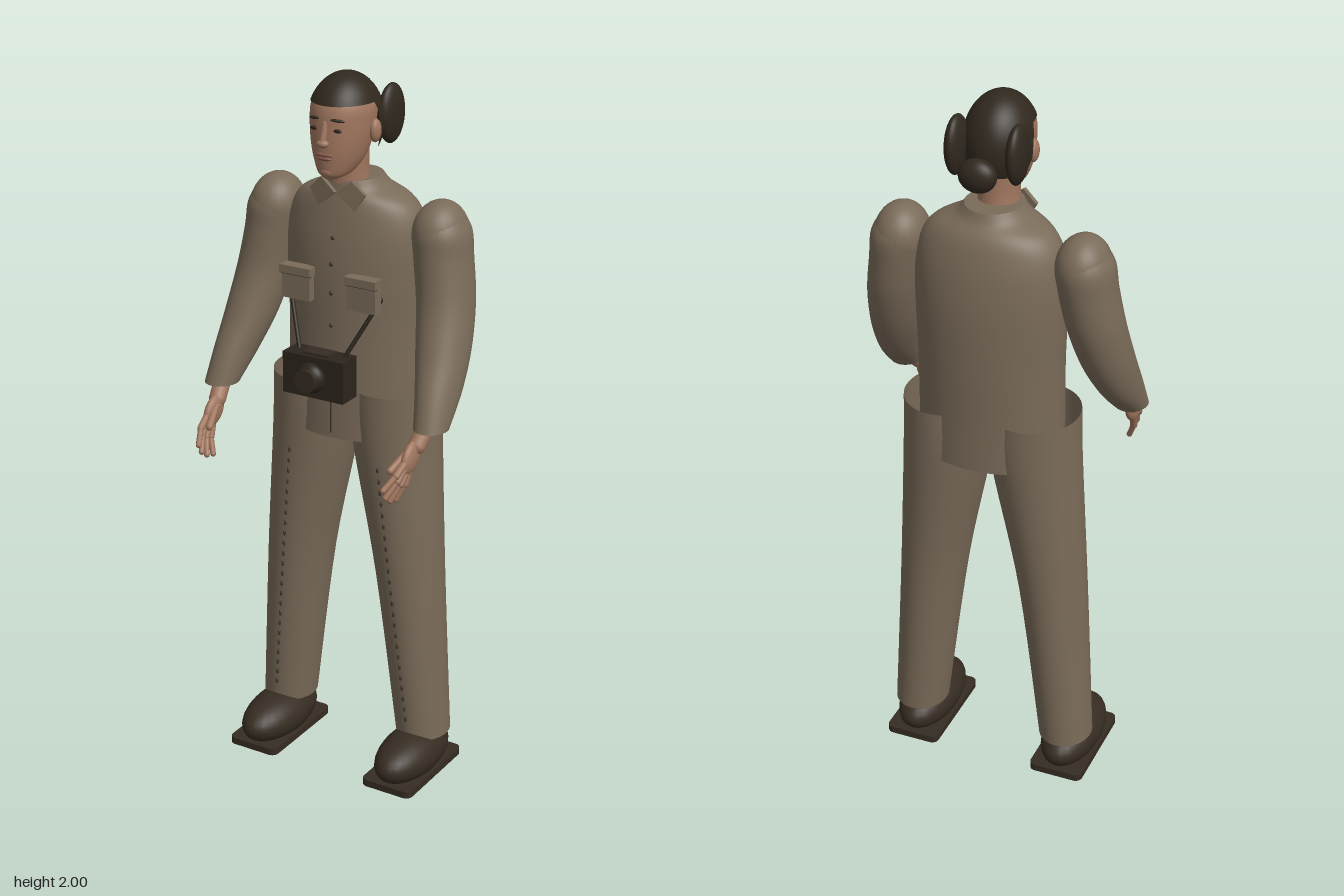
import * as THREE from 'three';

const mat = (name, color) => Object.assign(new THREE.MeshStandardMaterial({ color }), { name });

export function createModel() {
  const root = new THREE.Group();
  root.name = 'standingFigure';
  const cloth = mat('khakiCloth', 0x7a6b59);
  cloth.side = THREE.DoubleSide;
  const skin = mat('skin', 0xa0765e);
  const lips = mat('lips', 0x85584a);
  const hair = mat('darkHair', 0x30281e);
  hair.side = THREE.DoubleSide;
  const leather = mat('darkLeather', 0x362c22);
  const black = mat('cameraBlack', 0x2b241c);
  const stitch = mat('stitching', 0x40372d);

  const add = (name, geo, material, x = 0, y = 0, z = 0, parent = root) => {
    const m = new THREE.Mesh(geo, material);
    m.name = name;
    m.position.set(x, y, z);
    parent.add(m);
    return m;
  };
  const ball = (name, material, x, y, z, rx, ry, rz, parent) => {
    const m = add(name, new THREE.SphereGeometry(1, 28, 20), material, x, y, z, parent);
    m.scale.set(rx, ry, rz);
    return m;
  };
  const box = (name, material, x, y, z, w, h, d, parent) =>
    add(name, new THREE.BoxGeometry(w, h, d), material, x, y, z, parent);
  const rod = (name, material, a, b, r) => {
    const p = new THREE.Vector3(...a), q = new THREE.Vector3(...b), d = q.clone().sub(p);
    const m = add(name, new THREE.CapsuleGeometry(r, d.length(), 5, 10), material);
    m.position.copy(p).add(q).multiplyScalar(0.5);
    m.quaternion.setFromUnitVectors(new THREE.Vector3(0, 1, 0), d.normalize());
    return m;
  };

  // Smooth elliptical loft; each row is [y, centreX, centreZ, radiusX, radiusZ], rising in y
  function loft(rows, { bottom = true, top = true, seg = 48, steps = 6 } = {}) {
    const n = (rows.length - 1) * steps, pos = [], idx = [];
    const splines = [0, 1, 2, 3, 4].map(k =>
      new THREE.SplineCurve(rows.map((r, i) => new THREE.Vector2(i, r[k]))));
    const ring = t => {
      const [y, cx, cz, rx, rz] = splines.map(s => s.getPoint(t).y);
      for (let j = 0; j < seg; j++) {
        const a = j / seg * Math.PI * 2;
        pos.push(cx + rx * Math.sin(a), y, cz + rz * Math.cos(a));
      }
      return [cx, y, cz];
    };
    for (let i = 0; i <= n; i++) ring(i / n);
    for (let i = 0; i < n; i++) for (let j = 0; j < seg; j++) {
      const a = i * seg + j, b = i * seg + (j + 1) % seg;
      idx.push(a, b, b + seg, a, b + seg, a + seg);
    }
    const cap = (t, up) => {
      const s = pos.length / 3;
      pos.push(...ring(t));
      const c = s + seg;
      for (let j = 0; j < seg; j++) {
        const a = s + j, b = s + (j + 1) % seg;
        idx.push(...(up ? [a, b, c] : [b, a, c]));
      }
    };
    if (bottom) cap(0, false);
    if (top) cap(1, true);
    const g = new THREE.BufferGeometry();
    g.setAttribute('position', new THREE.Float32BufferAttribute(pos, 3));
    g.setIndex(idx);
    g.computeVertexNormals();
    return g;
  }

  // Shirt body and neck
  add('shirt', loft([
    [1.01, 0, -0.107, 0.2, 0.142], [1.15, 0, -0.108, 0.2, 0.142], [1.3, 0, -0.11, 0.2, 0.143],
    [1.45, 0, -0.11, 0.205, 0.142], [1.55, 0, -0.108, 0.204, 0.134], [1.62, 0, -0.105, 0.19, 0.121],
    [1.665, 0, -0.1, 0.158, 0.108], [1.695, 0, -0.09, 0.1, 0.092], [1.72, 0, -0.085, 0.076, 0.084],
  ]), cloth);
  add('neck', loft([[1.68, 0, -0.06, 0.06, 0.06], [1.74, 0, -0.055, 0.054, 0.056], [1.83, 0, -0.05, 0.056, 0.06]]), skin);

  // Placket seam and buttons
  box('placketSeam', stitch, 0, 1.09, 0.033, 0.004, 0.13, 0.006);
  for (const y of [1.33, 1.42, 1.5, 1.57])
    ball('button', stitch, 0, y, y > 1.55 ? 0.024 : 0.032, 0.006, 0.006, 0.004);

  // Head
  add('head', loft([
    [1.735, 0, 0.03, 0.018, 0.018], [1.748, 0, 0.01, 0.042, 0.05], [1.78, 0, -0.01, 0.062, 0.075],
    [1.82, 0, -0.02, 0.075, 0.087], [1.87, 0, -0.028, 0.083, 0.093], [1.92, 0, -0.034, 0.083, 0.093],
    [1.96, 0, -0.038, 0.062, 0.075], [1.985, 0, -0.04, 0.02, 0.03],
  ]), skin);
  rod('noseBridge', skin, [0, 1.885, 0.058], [0, 1.838, 0.073], 0.009);
  ball('noseTip', skin, 0, 1.834, 0.072, 0.017, 0.011, 0.014);
  ball('upperLip', lips, 0, 1.803, 0.064, 0.025, 0.006, 0.008);
  ball('lowerLip', lips, 0, 1.793, 0.063, 0.02, 0.006, 0.008);
  ball('chin', skin, 0, 1.757, 0.046, 0.025, 0.019, 0.018);

  // Hair cap with a hairline that is high at the brow and low at the nape
  const capPos = [], capIdx = [], U = 64, V = 16;
  for (let i = 0; i <= V; i++) for (let j = 0; j < U; j++) {
    const a = j / U * Math.PI * 2;
    const back = THREE.MathUtils.smoothstep(-Math.cos(a), 0.02, 0.3);
    const th = Math.acos(THREE.MathUtils.lerp(0.46, -0.5, back)) * i / V;
    capPos.push(0.096 * Math.sin(th) * Math.sin(a), 1.87 + 0.13 * Math.cos(th), -0.041 + 0.116 * Math.sin(th) * Math.cos(a));
    if (i < V) {
      const p = i * U + j, q = i * U + (j + 1) % U;
      capIdx.push(p, p + U, q + U, p, q + U, q);
    }
  }
  const capGeo = new THREE.BufferGeometry();
  capGeo.setAttribute('position', new THREE.Float32BufferAttribute(capPos, 3));
  capGeo.setIndex(capIdx);
  capGeo.computeVertexNormals();
  add('hairCap', capGeo, hair);
  ball('lowerBun', hair, 0, 1.835, -0.195, 0.051, 0.045, 0.034);

  // Camera
  box('cameraBody', black, 0, 1.213, 0.09, 0.186, 0.115, 0.07);
  box('cameraTopPlate', leather, 0, 1.273, 0.09, 0.08, 0.008, 0.045);
  ball('lensBarrel', black, 0, 1.215, 0.135, 0.042, 0.042, 0.028);
  add('lensRim', new THREE.CylinderGeometry(0.032, 0.032, 0.008, 28).rotateX(Math.PI / 2), leather, 0, 1.215, 0.162);

  // Collar wing outline, on the model's left
  const wing = s => {
    const sh = new THREE.Shape([[0, 1.69], [0.055, 1.645], [0.083, 1.69], [0.045, 1.725]]
      .map(([x, y]) => new THREE.Vector2(s * x, y)));
    return new THREE.ExtrudeGeometry(sh, { depth: 0.012, bevelEnabled: false });
  };
  // Rounded sole outline
  const sole = new THREE.Shape(), w = 0.078, l = 0.153, r = 0.02;
  sole.absarc(w - r, l - r, r, 0, Math.PI / 2);
  sole.absarc(r - w, l - r, r, Math.PI / 2, Math.PI);
  sole.absarc(r - w, r - l, r, Math.PI, Math.PI * 1.5);
  sole.absarc(w - r, r - l, r, Math.PI * 1.5, Math.PI * 2);
  const soleGeo = new THREE.ExtrudeGeometry(sole, { depth: 0.02, bevelEnabled: false }).rotateX(-Math.PI / 2);

  for (const s of [1, -1]) {
    const side = s > 0 ? 'left' : 'right';

    // Face details, ear and side bun
    ball(side + 'Eye', black, s * 0.034, 1.868, 0.057, 0.013, 0.005, 0.005);
    const brow = ball(side + 'Brow', hair, s * 0.035, 1.895, 0.057, 0.019, 0.004, 0.005);
    brow.rotation.set(0, s * 0.35, -s * 0.1);
    ball(side + 'Ear', skin, s * 0.088, 1.855, -0.043, 0.014, 0.031, 0.02);
    ball(side + 'Bun', hair, s * 0.082, 1.88, -0.134, 0.025, 0.08, 0.056);

    // Collar wing
    const c = add(side + 'Collar', wing(s), cloth, 0, 0, 0.002);
    c.rotation.y = s * 0.15;

    // Breast pocket with flap
    box(side + 'Pocket', cloth, s * 0.1, 1.43, 0.032, 0.086, 0.08, 0.03);
    box(side + 'PocketFlap', cloth, s * 0.1, 1.471, 0.037, 0.094, 0.022, 0.036);
    box(side + 'PocketSeam', stitch, s * 0.1, 1.458, 0.045, 0.09, 0.004, 0.008);

    // Camera strap
    rod(side + 'Strap', black, [s * 0.14, 1.42, 0.012], [s * 0.068, 1.265, 0.08], 0.006);

    // Sleeve with rounded shoulder
    ball(side + 'Shoulder', cloth, s * 0.25, 1.59, -0.105, 0.073, 0.09, 0.086);
    add(side + 'Sleeve', loft([
      [1.12, s * 0.327, 0.068, 0.046, 0.052], [1.2, s * 0.316, 0.012, 0.057, 0.077],
      [1.3, s * 0.299, -0.042, 0.07, 0.085], [1.42, s * 0.28, -0.085, 0.076, 0.086],
      [1.53, s * 0.262, -0.101, 0.077, 0.087], [1.6, s * 0.254, -0.105, 0.076, 0.086],
      [1.645, s * 0.25, -0.105, 0.056, 0.064],
    ]), cloth);

    // Hand: wrist, palm, four fingers and thumb
    rod(side + 'Wrist', skin, [s * 0.32, 1.135, 0.072], [s * 0.312, 1.085, 0.115], 0.024);
    const palm = ball(side + 'Palm', skin, s * 0.308, 1.06, 0.14, 0.017, 0.05, 0.036);
    palm.rotation.x = -0.8;
    const fingers = [[1.055, 0.172, 1.0, 0.245], [1.043, 0.17, 0.975, 0.232], [1.032, 0.16, 0.958, 0.208], [1.025, 0.147, 0.95, 0.178]];
    for (const [y0, z0, y1, z1] of fingers) {
      const ym = (y0 + y1) / 2 + 0.004, zm = (z0 + z1) / 2;
      rod(side + 'FingerBase', skin, [s * 0.308, y0, z0], [s * 0.304, ym, zm], 0.01);
      rod(side + 'FingerTip', skin, [s * 0.304, ym, zm], [s * 0.287, y1, z1], 0.008);
    }
    rod(side + 'Thumb', skin, [s * 0.3, 1.075, 0.14], [s * 0.282, 1.038, 0.2], 0.01);

    // Trouser leg with a stitched front crease
    add(side + 'Trouser', loft([
      [0.115, s * 0.222, -0.105, 0.074, 0.085], [0.6, s * 0.177, -0.1, 0.092, 0.108],
      [1.0, s * 0.127, -0.105, 0.121, 0.131], [1.15, s * 0.123, -0.105, 0.12, 0.135],
    ], { top: false }), cloth);
    for (let i = 0; i < 24; i++) {
      const t = i / 23, y = 0.18 + 0.76 * t;
      const z = y < 0.6 ? THREE.MathUtils.lerp(-0.015, 0.008, (y - 0.18) / 0.42)
        : THREE.MathUtils.lerp(0.008, 0.022, (y - 0.6) / 0.34);
      ball(side + 'CreaseStitch', stitch, s * (0.215 - 0.075 * t), y, z, 0.004, 0.009, 0.005);
    }

    // Shoe and sole
    ball(side + 'Shoe', leather, s * 0.222, 0.068, -0.04, 0.08, 0.068, 0.16);
    add(side + 'Sole', soleGeo, leather, s * 0.222, 0.01, -0.042);
  }
  return root;
}
